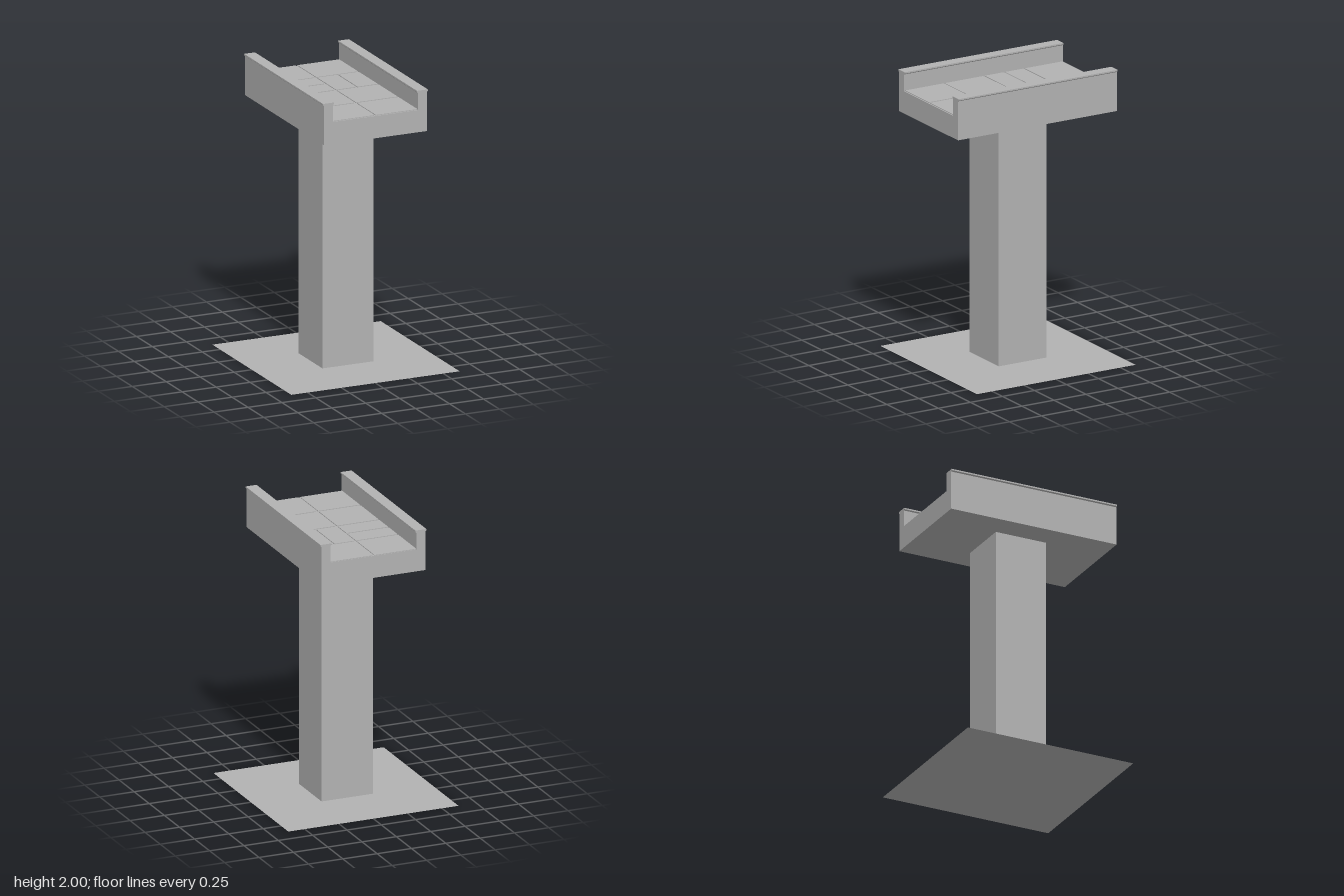
import * as THREE from 'three';

const concrete = new THREE.MeshStandardMaterial({ color: 0xb2b2b2 });
concrete.name = 'concrete grey';
const ground = new THREE.MeshStandardMaterial({ color: 0xb2b2b2, side: THREE.DoubleSide });
ground.name = 'ground grey';

const HALF = 0.62; // half length of the deck and of the ground sheet

function add(parent, name, geometry, material, x = 0, y = 0, z = 0) {
  const mesh = new THREE.Mesh(geometry, material);
  mesh.name = name;
  mesh.position.set(x, y, z);
  parent.add(mesh);
  return mesh;
}

export function createModel() {
  const model = new THREE.Group();
  model.name = 'bridgePier';

  // Flat ground sheet
  add(model, 'groundSheet', new THREE.PlaneGeometry(HALF * 2, HALF * 2).rotateX(-Math.PI / 2), ground);

  // Square pillar
  add(model, 'pillar', new THREE.BoxGeometry(0.375, 1.705, 0.375), concrete, 0, 0.8575, 0);

  // U-shaped deck with parapets that flare slightly under their tops
  const half = [
    [0.378, 1.71], [0.378, 1.983], [0.386, 1.99], [0.386, 2],
    [0.306, 2], [0.306, 1.99], [0.313, 1.983], [0.313, 1.865],
  ];
  const mirrored = half.map(([x, y]) => [-x, y]).reverse();
  const profile = new THREE.Shape([...half, ...mirrored].map(([x, y]) => new THREE.Vector2(x, y)));
  const deck = new THREE.ExtrudeGeometry(profile, { depth: HALF * 2, bevelEnabled: false });
  add(model, 'deck', deck, concrete, 0, 0, -HALF);

  // Paving slabs with narrow joints: x0, x1, z0, z1
  const slabs = new THREE.Group();
  slabs.name = 'pavingSlabs';
  model.add(slabs);
  const layout = [
    [-0.313, -0.009, -0.309, -0.168],
    [-0.313, -0.009, -0.153, -0.011],
    [0.006, 0.147, -0.309, -0.011],
    [0.163, 0.313, -0.309, -0.011],
  ];
  for (const [z0, z1] of [[-0.617, -0.321], [0.004, 0.302], [0.316, 0.612]]) {
    layout.push([-0.313, -0.009, z0, z1], [0.006, 0.313, z0, z1]);
  }
  for (const [x0, x1, z0, z1] of layout) {
    add(slabs, 'slab', new THREE.BoxGeometry(x1 - x0, 0.006, z1 - z0), concrete,
      (x0 + x1) / 2, 1.867, (z0 + z1) / 2);
  }

  return model;
}
